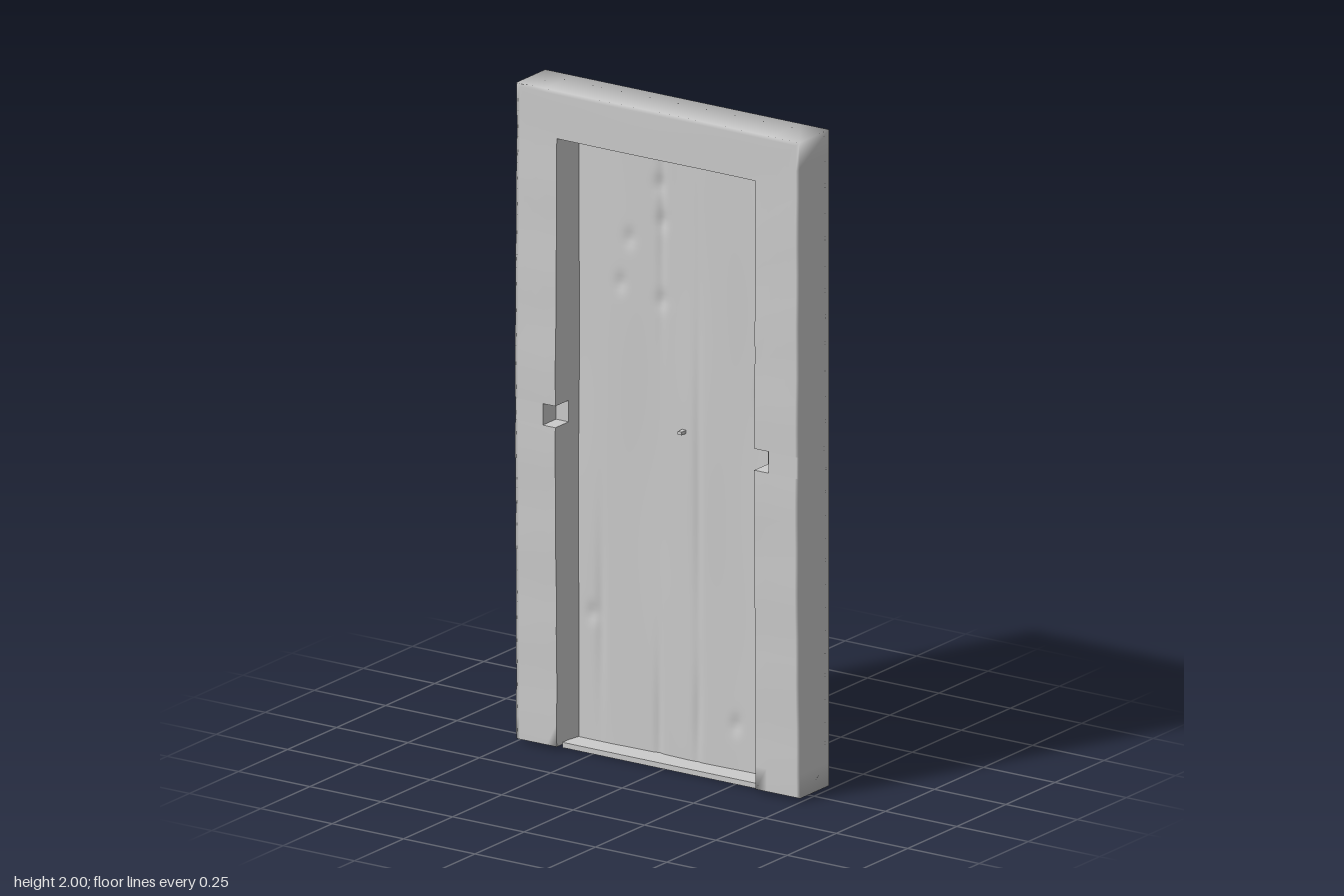
import * as THREE from 'three';
import { mergeGeometries, mergeVertices } from 'three/addons/utils/BufferGeometryUtils.js';

const material = new THREE.MeshStandardMaterial({ color: 0xcccccc, side: THREE.DoubleSide });

const FOOT = 0.01, TOP = 2, HALF = 0.497;          // outer frame
const LEFT = 0.342, RIGHT = -0.356, HEAD = 1.855;  // front opening
const BACK_Z = -0.081, DOOR_Z = -0.036, NOTCH_Z = 0.005;
const NOTCH_LOW = 0.98, NOTCH_HIGH = 1.045, NOTCH_LEFT = 0.392, NOTCH_RIGHT = -0.4;

const { lerp } = THREE.MathUtils;
const at = (x, y, z) => new THREE.Vector3(x, y, z);

// Depth of the worn front, bulging a little at mid height
const frontZ = (x, y) => 0.066 + 0.007 * Math.sin((Math.PI * y) / 2) + 0.003 * x
  + 0.0015 * Math.sin(x * 9 + y * 5) + 0.001 * Math.sin(y * 23);

// Rows [innerX, innerY, outerX, outerY] around the jambs and head
function archRows(notched) {
  const notch = (x, out) => (notched
    ? [[x, NOTCH_LOW], [out, NOTCH_LOW], [out, NOTCH_HIGH], [x, NOTCH_HIGH]] : []);
  const corners = [
    [RIGHT, FOOT, -HALF, FOOT],
    ...notch(RIGHT, NOTCH_RIGHT).map(([x, y]) => [x, y, -HALF, y]),
    [RIGHT, HEAD, -HALF, TOP], [LEFT, HEAD, HALF, TOP],
    ...notch(LEFT, NOTCH_LEFT).reverse().map(([x, y]) => [x, y, HALF, y]),
    [LEFT, FOOT, HALF, FOOT],
  ];
  const rows = [corners[0]];
  for (let i = 1; i < corners.length; i++) {
    const a = corners[i - 1], b = corners[i];
    const n = Math.max(1, Math.round(Math.hypot(b[0] - a[0], b[1] - a[1]) / 0.07));
    for (let k = 1; k <= n; k++) rows.push(a.map((v, c) => lerp(v, b[c], k / n)));
  }
  return rows;
}

// Skin stretched over matching loops of points
function loft(loops, closed = false) {
  const n = loops[0].length, index = [];
  for (let j = 0; j < loops.length - 1; j++) {
    for (let i = 0; i < (closed ? n : n - 1); i++) {
      const a = j * n + i, b = j * n + ((i + 1) % n);
      index.push(a, b, a + n, b, b + n, a + n);
    }
  }
  const geometry = new THREE.BufferGeometry().setFromPoints(loops.flat());
  geometry.setIndex(index);
  return geometry;
}

function part(name, geometry) {
  const mesh = new THREE.Mesh(geometry, material);
  mesh.name = name;
  return mesh;
}

function smooth(name, geometry) {
  geometry.computeVertexNormals();
  return part(name, geometry);
}

function box(name, x0, x1, y0, y1, z0, z1) {
  const geometry = new THREE.BoxGeometry(x1 - x0, y1 - y0, z1 - z0);
  geometry.translate((x0 + x1) / 2, (y0 + y1) / 2, (z0 + z1) / 2);
  return part(name, geometry);
}

// Rear opening as a scaled copy of the outer rectangle
const rearPoint = (x, y, half, top, z) =>
  at((x / HALF) * half, lerp(0.1, top, (y - FOOT) / (TOP - FOOT)), z);

// Casing: worn front, outer sides, underside and rear face in one soft skin
function casing() {
  const rows = archRows(true);
  const front = [0, 0.25, 0.5, 0.75, 0.92, 1].map((t) => rows.map(([ix, iy, ox, oy]) => {
    const x = lerp(ix, ox, t), y = lerp(iy, oy, t);
    return at(x, y, frontZ(x, y));
  }));
  // The underside steps back between the two feet, where the sill sits
  const rim = [
    ...front[front.length - 1],
    at(LEFT, FOOT, frontZ(LEFT, FOOT)), at(LEFT, FOOT, DOOR_Z),
    at(RIGHT, FOOT, DOOR_Z), at(RIGHT, FOOT, frontZ(RIGHT, FOOT)),
  ];
  const shell = [
    rim,
    rim.map((p) => at(p.x, p.y, BACK_Z)),
    rim.map((p) => rearPoint(p.x, p.y, 0.365, 1.895, BACK_Z)),
  ];
  return smooth('casing', mergeVertices(mergeGeometries([loft(front), loft(shell, true)])));
}

// Inner faces of the opening, tapering towards the door
function reveals(group) {
  const notched = archRows(true), plain = archRows(false);
  const taper = (x, y) => at(x < 0 ? x + 0.008 : x, Math.min(y, HEAD - 0.006), DOOR_Z - 0.002);
  group.add(smooth('frontReveal', loft([
    notched.map(([x, y]) => at(x, y, NOTCH_Z)),
    notched.map(([x, y]) => at(x, y, frontZ(x, y))),
  ]).toNonIndexed()));
  group.add(smooth('innerReveal', loft([
    plain.map(([x, y]) => taper(x, y)),
    plain.map(([x, y]) => at(x, y, NOTCH_Z)),
  ]).toNonIndexed()));
  group.add(smooth('rearReveal', loft([
    plain.map(([, , x, y]) => rearPoint(x, y, 0.365, 1.895, BACK_Z)),
    plain.map(([, , x, y]) => rearPoint(x, y, 0.344, 1.853, DOOR_Z)),
  ]).toNonIndexed()));
  group.add(box('leftNotchFloor', LEFT, NOTCH_LEFT, NOTCH_LOW, NOTCH_HIGH, NOTCH_Z - 0.01, NOTCH_Z));
  group.add(box('rightNotchFloor', NOTCH_RIGHT, RIGHT, NOTCH_LOW, NOTCH_HIGH, NOTCH_Z - 0.01, NOTCH_Z));
}

const bump = (x, y, cx, cy, rx, ry) => Math.exp(-(((x - cx) / rx) ** 2) - ((y - cy) / ry) ** 2);

// Thin warped door of worn planks
function door() {
  const half = 0.349, y0 = 0.01, y1 = 1.857;
  const geometry = new THREE.PlaneGeometry(half * 2, y1 - y0, 90, 120);
  geometry.translate(0, (y0 + y1) / 2, DOOR_Z);
  // Centre and radii of long plank grooves, then small dents
  const grooves = [
    [0.07, 0.85, 0.012, 0.45], [-0.07, 0.1, 0.012, 0.2], [-0.06, 1.65, 0.014, 0.3],
    [-0.27, 0.4, 0.015, 0.25], [0.07, 0.15, 0.012, 0.15], [0.283, 1.15, 0.014, 0.05],
  ];
  const dents = [[-0.07, 1.74], [-0.06, 1.63], [-0.17, 1.56], [-0.06, 1.39], [-0.2, 1.42], [-0.3, 0.4], [0.2, 0.15]];
  const p = geometry.attributes.position;
  for (let i = 0; i < p.count; i++) {
    const x = p.getX(i), y = p.getY(i);
    let z = 0.002 * Math.sin(x * 19 + 0.8 * Math.sin(y * 3)) + 0.0012 * Math.sin(y * 7 + x * 11);
    for (const [cx, cy, rx, ry] of grooves) z -= 0.006 * bump(x, y, cx, cy, rx, ry);
    for (const [cx, cy] of dents) z -= 0.006 * bump(x, y, cx, cy, 0.02, 0.025);
    p.setZ(i, p.getZ(i) + z);
  }
  return smooth('door', geometry);
}

export function createModel() {
  const group = new THREE.Group();
  group.name = 'framedDoor';
  group.add(casing());
  reveals(group);
  group.add(door());
  group.add(box('sill', RIGHT, LEFT, 0, 0.016, -0.077, 0.036));

  // Small fittings on the door
  group.add(box('peg', 0.015, 0.029, 1.005, 1.015, DOOR_Z - 0.006, DOOR_Z + 0.025));
  group.add(box('handle', 0.279, 0.287, 1.095, 1.185, DOOR_Z - 0.005, DOOR_Z + 0.006));
  return group;
}
